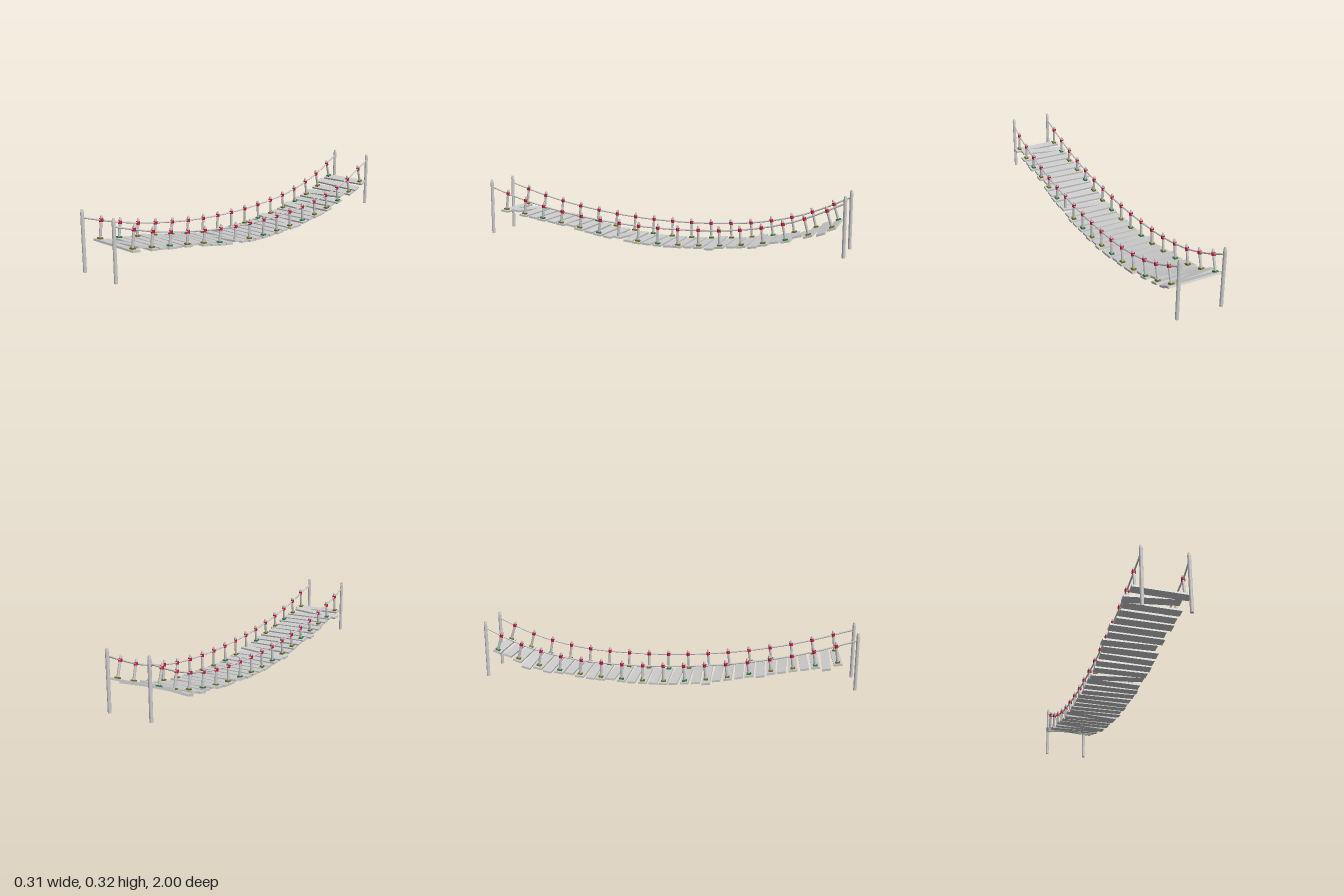
import * as THREE from 'three';

const wood = new THREE.MeshStandardMaterial({ color: 0xcccccc });
const flatWood = new THREE.MeshStandardMaterial({ color: 0xcccccc, flatShading: true });
const red = new THREE.MeshStandardMaterial({ color: 0xd0103c });
const olive = new THREE.MeshStandardMaterial({ color: 0x77751c });
const green = new THREE.MeshStandardMaterial({ color: 0x35803f });

// Smooth height profile sampled every 0.25 from z = -1.25 to z = 1.25
function profile(heights) {
  const curve = new THREE.CatmullRomCurve3(
    heights.map((y, i) => new THREE.Vector3(0, y, -1.25 + i * 0.25)), false, 'catmullrom', 0.5);
  return z => curve.getPoint((z + 1.25) / 2.5).y;
}
const deckY = profile([0.3, 0.184, 0.088, 0.038, 0.016, 0.012, 0.036, 0.082, 0.124, 0.167, 0.21]);
const ropeY = profile([0.43, 0.288, 0.181, 0.124, 0.104, 0.103, 0.119, 0.153, 0.206, 0.282, 0.365]);
const deckPitch = z => -Math.atan2(deckY(z + 0.03) - deckY(z - 0.03), 0.06);

let seed = 7;
const rand = () => (seed = (seed * 16807) % 2147483647) / 2147483647;
const spread = a => (rand() * 2 - 1) * a;

function add(parent, name, geometry, material, x = 0, y = 0, z = 0) {
  const mesh = new THREE.Mesh(geometry, material);
  mesh.name = name;
  mesh.position.set(x, y, z);
  parent.add(mesh);
  return mesh;
}

// Round pole standing on its base, with a blunt chamfered tip
function pole(r, h, tip, sides) {
  const pts = [[0, 0], [r, 0], [r, h - tip], [r * 0.72, h - tip * 0.2], [r * 0.62, h], [0, h]];
  return new THREE.LatheGeometry(pts.map(p => new THREE.Vector2(...p)), sides);
}

// Sideways offset of each plank, back to front
const plankX = [
  0.014, 0.006, 0.009, -0.018, 0.001, -0.010, 0.008, 0.001, 0.007, 0.005, 0.011,
  0.005, 0.014, 0.005, 0.011, 0.006, 0.006, 0.010, 0.011, 0.006, 0.009, 0.010,
  0.011, 0.010, 0.009, -0.012, 0.004, -0.007, 0.010, 0.008, 0.010, -0.009, 0.014];
// Planks that hang tilted to one side: index -> roll
const plankRoll = { 1: -0.06, 3: 0.075, 5: 0.02, 7: -0.06, 11: -0.06, 20: 0.075, 25: 0.02, 27: -0.02, 31: 0.08 };

export function createModel() {
  const model = new THREE.Group();
  const count = plankX.length, step = 1.825 / (count - 1), zStart = -0.93;
  const leftX = 0.129, rightX = -0.107;

  // Planks, tipped to follow the sag
  const deck = new THREE.Group();
  deck.name = 'deck';
  model.add(deck);
  plankX.forEach((x, i) => {
    const z = zStart + i * step, carrier = i % 2 === 0;
    const size = [carrier ? 0.284 : 0.28, 0.0105, 0.046 + spread(0.003)];
    const plank = add(deck, 'plank', new THREE.BoxGeometry(...size), flatWood, x, deckY(z), z);
    plank.rotation.set(deckPitch(z) * 0.9, spread(carrier ? 0.008 : 0.035), plankRoll[i] ?? spread(0.006));
  });

  // Railing stanchions with a foot binding and a rope lashing, on every second plank
  const stanchionGeo = pole(0.0068, 1, 0.08, 10);
  const footGeo = new THREE.BoxGeometry(0.02, 0.008, 0.024);
  const wrapGeo = new THREE.CylinderGeometry(0.0098, 0.0098, 0.016, 10);
  for (let i = 0; i < count; i += 2) {
    const z = zStart + i * step, base = deckY(z) + 0.005, lean = deckPitch(z) * 0.75;
    for (const x of [rightX, leftX]) {
      const stanchion = new THREE.Group();
      stanchion.name = 'stanchion';
      stanchion.position.set(x, base, z);
      stanchion.rotation.x = lean;
      model.add(stanchion);
      // Lashing sits where the leaning stanchion meets the rope
      const reach = (ropeY(z + Math.sin(lean) * 0.09) - base) / Math.cos(lean);
      add(stanchion, 'stanchionPole', stanchionGeo, wood).scale.y = reach + 0.024;
      add(stanchion, 'lashing', wrapGeo, red, 0, reach, 0);
      add(stanchion, 'footBinding', footGeo, (i / 2 + (x > 0 ? 1 : 0)) % 3 ? olive : green, 0, 0.004, 0);
    }
  }

  // Handrail ropes strung between the end posts
  for (const [frontX, midX, backX] of [[rightX, rightX, rightX], [0.12, leftX, 0.131]]) {
    const pts = [];
    for (let k = 0; k <= 24; k++) {
      const z = -0.99 + k * 1.98 / 24;
      const x = z > 0.89 ? THREE.MathUtils.lerp(midX, frontX, (z - 0.89) / 0.1)
        : z < -0.9 ? THREE.MathUtils.lerp(midX, backX, (-0.9 - z) / 0.09) : midX;
      pts.push(new THREE.Vector3(x, ropeY(z), z));
    }
    add(model, 'handrailRope',
      new THREE.TubeGeometry(new THREE.CatmullRomCurve3(pts), 80, 0.0042, 8), wood);
  }

  // Tall end posts
  const postGeo = pole(0.0088, 0.307, 0.016, 14);
  for (const [x, z] of [[rightX, 0.991], [0.12, 0.991], [rightX, -0.991], [0.131, -0.991]])
    add(model, 'endPost', postGeo, flatWood, x, 0.012, z);

  // Rest the lowest plank on the ground
  const box = new THREE.Box3().setFromObject(model, true);
  model.children.forEach(c => { c.position.y -= box.min.y; });
  return model;
}
